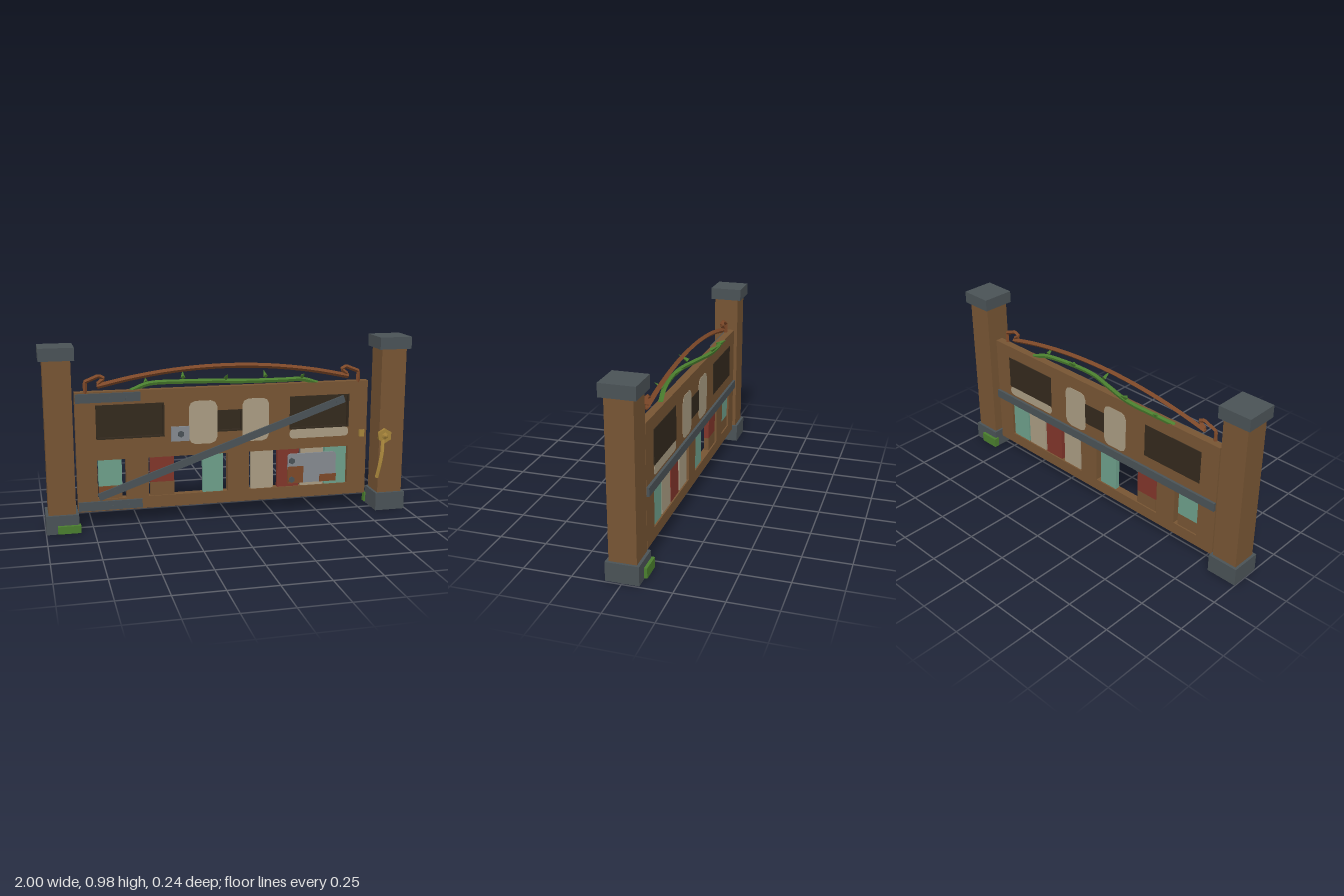
import * as THREE from 'three';

const mat = (name, color) => {
  const m = new THREE.MeshStandardMaterial({ color });
  m.name = name;
  return m;
};

export function createModel() {
  const group = new THREE.Group();
  const wood = mat('wood', 0x765433), steel = mat('dark steel', 0x4a5256), dark = mat('dark wood', 0x33291d);
  const cream = mat('worn cream', 0xa99b82), teal = mat('teal paint', 0x6d9f8a), red = mat('red paint', 0x80352a);
  const moss = mat('moss green', 0x4a7e2e), grey = mat('light metal', 0x858a90);
  const brass = mat('brass', 0xa5833a), rust = mat('rust', 0x7d4828);

  const add = (name, geo, m) => {
    const mesh = new THREE.Mesh(geo, m);
    mesh.name = name;
    group.add(mesh);
    return mesh;
  };
  // Box given by its limits on each axis
  const box = (name, m, x0, x1, y0, y1, z0, z1) => {
    const b = add(name, new THREE.BoxGeometry(x1 - x0, y1 - y0, z1 - z0), m);
    b.position.set((x0 + x1) / 2, (y0 + y1) / 2, (z0 + z1) / 2);
    return b;
  };
  // Rectangle outline with corners cut by c
  const outline = (x0, x1, y0, y1, c = 0, Type = THREE.Shape) => {
    const pts = c
      ? [[x0 + c, y0], [x1 - c, y0], [x1 - c * 0.3, y0 + c * 0.3], [x1, y0 + c], [x1, y1 - c], [x1 - c * 0.3, y1 - c * 0.3],
        [x1 - c, y1], [x0 + c, y1], [x0 + c * 0.3, y1 - c * 0.3], [x0, y1 - c], [x0, y0 + c], [x0 + c * 0.3, y0 + c * 0.3]]
      : [[x0, y0], [x1, y0], [x1, y1], [x0, y1]];
    return new Type(pts.map(p => new THREE.Vector2(...p)));
  };
  const plate = (name, m, shape, z0, z1) => {
    const p = add(name, new THREE.ExtrudeGeometry(shape, { depth: z1 - z0, bevelEnabled: false }), m);
    p.position.z = z0;
    return p;
  };
  const bolt = (x, y, z, r = 0.013) => {
    const b = add('bolt', new THREE.CylinderGeometry(r, r, 0.01, 6), steel);
    b.rotation.x = Math.PI / 2;
    b.position.set(x, y, z);
  };
  // Bent bar following points, with few sides
  const bar = (name, m, pts, r, segs, sides = 4, smooth = true) => {
    const v = pts.map(p => new THREE.Vector3(...p));
    let path = new THREE.CatmullRomCurve3(v);
    if (!smooth) {
      path = new THREE.CurvePath();
      for (let i = 1; i < v.length; i++) path.add(new THREE.LineCurve3(v[i - 1], v[i]));
    }
    const geo = new THREE.TubeGeometry(path, segs, r, sides, false).toNonIndexed();
    geo.computeVertexNormals();
    add(name, geo, m);
    // End caps
    for (const [p, q] of [[v[0], v[1]], [v[v.length - 1], v[v.length - 2]]]) {
      const cap = add(name + 'End', new THREE.ConeGeometry(r * 1.05, r * 0.6, sides), m);
      cap.position.copy(p);
      cap.quaternion.setFromUnitVectors(new THREE.Vector3(0, 1, 0), p.clone().sub(q).normalize());
    }
  };

  // Posts
  for (const x of [-0.913, 0.906]) {
    box('post', wood, x - 0.071, x + 0.071, 0.1, 0.912, -0.07, 0.07);
    box('postBase', steel, x - 0.085, x + 0.085, 0, 0.1, -0.085, 0.085);
    box('postCap', steel, x - 0.09, x + 0.09, 0.912, 0.978, -0.09, 0.09);
  }
  box('frontMoss', moss, -0.94, -0.82, 0.006, 0.046, 0.07, 0.104);
  box('backMoss', moss, 0.812, 0.925, 0.006, 0.06, -0.101, -0.07);

  // Gate panel with windows and slat openings
  const B = -0.055, F = -0.012;
  const panel = outline(-0.825, 0.79, 0.08, 0.728);
  const windows = [[-0.718, -0.355, 0.472, 0.657], [-0.067, 0.072, 0.482, 0.6], [0.34, 0.682, 0.472, 0.657]];
  const openings = [[-0.718, -0.565], [-0.445, -0.008], [0.11, 0.682]];
  for (const w of windows) panel.holes.push(outline(...w, 0, THREE.Path));
  for (const o of openings) panel.holes.push(outline(...o, 0.145, 0.36, 0, THREE.Path));
  plate('gatePanel', wood, panel, B, F);

  // Dark window boards, recessed in front and almost flush behind
  for (const [x0, x1, y0, y1] of windows) {
    box('windowBoard', dark, x0, x1, y0, y1, B - 0.003, F - 0.015);
    const frame = outline(x0, x1, y0, y1);
    frame.holes.push(outline(x0 + 0.008, x1 - 0.008, y0 + 0.008, y1 - 0.008, 0, THREE.Path));
    plate('windowFrame', dark, frame, F - 0.015, F + 0.004);
  }

  // Worn cream patches on both faces
  for (const [z0, z1] of [[F - 0.001, F + 0.002], [B - 0.002, B + 0.001]]) {
    plate('creamPatch', cream, outline(-0.222, -0.067, 0.42, 0.657, 0.035), z0, z1);
    plate('creamPatch', cream, outline(0.072, 0.222, 0.42, 0.657, 0.035), z0, z1);
    plate('creamStrip', cream, outline(0.34, 0.682, 0.42, 0.472, 0.02), z0, z1);
  }

  // Painted slats
  const slats = [[-0.712, -0.587, teal, 0.215], [-0.435, -0.305, red, 0.22], [-0.147, -0.035, teal, 0.145],
    [0.125, 0.25, cream, 0.145], [0.275, 0.398, red, 0.145], [0.41, 0.54, cream, 0.145], [0.55, 0.675, teal, 0.145]];
  for (const [x0, x1, m, y0] of slats) {
    box('slat', m, x0, x1, y0, 0.36, B + 0.008, F - 0.008);
    if (y0 > 0.15) box('bareSlatEnd', wood, x0, x1, 0.145, y0, B + 0.008, F - 0.008);
  }

  // Steel straps, back rail and diagonal brace
  for (const y of [0.697, 0.112]) {
    box('hingeStrap', steel, -0.822, -0.482, y - 0.024, y + 0.024, F, 0);
    for (const x of [-0.64, -0.553]) bolt(x, y - 0.008, 0.001, 0.01);
  }
  box('backRail', steel, -0.825, 0.79, 0.36, 0.408, B - 0.014, B);
  const a = new THREE.Vector2(-0.715, 0.16), b = new THREE.Vector2(0.65, 0.634), d = b.clone().sub(a);
  const brace = add('diagonalBrace', new THREE.BoxGeometry(d.length(), 0.04, 0.012), steel);
  brace.position.set((a.x + b.x) / 2, (a.y + b.y) / 2, 0);
  brace.rotation.z = d.angle();
  bolt(-0.625, 0.19, 0.007);
  bolt(0.615, 0.622, 0.007);

  // Light metal repair plates
  box('smallPlate', grey, -0.32, -0.222, 0.442, 0.523, F, -0.004);
  bolt(-0.268, 0.482, 0, 0.018);
  plate('largePlate', grey, outline(0.33, 0.61, 0.166, 0.334, 0.016), F, -0.002);
  box('rustPatch', rust, 0.328, 0.42, 0.166, 0.262, -0.004, 0);
  box('rustPatch', rust, 0.515, 0.612, 0.166, 0.208, -0.004, 0);
  box('rustPatch', rust, -0.712, -0.64, 0.175, 0.212, F - 0.009, F - 0.004);
  for (const y of [0.295, 0.188]) bolt(0.352, y, 0.002, 0.018);

  // Arched top rail with bent hooks
  const arch = [];
  for (let i = 0; i <= 8; i++) {
    const t = i / 4 - 1;
    arch.push([-0.015 + t * 0.69, 0.84 - 0.083 * t * t, -0.018]);
  }
  bar('archRail', rust, arch, 0.014, 24);
  for (const s of [-1, 1]) {
    const hook = [[0.75, 0.72], [0.75, 0.783], [0.678, 0.812], [0.65, 0.797], [0.685, 0.77]];
    bar('railHook', rust, hook.map(([x, y]) => [-0.017 + s * x, y, -0.018]), 0.011, 24, 4, false);
  }

  // Winding vine with thorns
  bar('vine', moss, [[-0.53, 0.722, -0.035], [-0.43, 0.75, -0.07], [-0.25, 0.754, -0.07], [-0.07, 0.757, -0.03],
    [0.06, 0.757, 0.004], [0.18, 0.756, 0.01], [0.3, 0.754, 0.002], [0.41, 0.75, -0.015], [0.5, 0.722, -0.03]], 0.013, 36, 5);
  const thorns = [[-0.44, 0.758, -0.075, 0, 0.02, -0.03], [-0.24, 0.775, -0.075, 0.005, 0.03, -0.045],
    [-0.02, 0.775, -0.01, 0, 0.03, 0.055], [0.2, 0.775, -0.01, 0, 0.03, -0.045], [0.405, 0.765, -0.01, 0, 0.025, 0.045]];
  for (const [x, y, z, dx, dy, dz] of thorns) {
    const dir = new THREE.Vector3(dx, dy, dz);
    const geo = new THREE.ConeGeometry(0.013, dir.length(), 4).toNonIndexed();
    geo.computeVertexNormals();
    const t = add('thorn', geo, moss);
    t.position.set(x + dx / 2, y + dy / 2, z + dz / 2);
    t.quaternion.setFromUnitVectors(new THREE.Vector3(0, 1, 0), dir.normalize());
  }

  // Brass latch: hexagonal boss, hanging lever and catch
  const hex = add('latchBoss', new THREE.CylinderGeometry(0.041, 0.041, 0.02, 6).toNonIndexed(), brass);
  hex.rotation.x = Math.PI / 2;
  hex.position.set(0.862, 0.43, 0.08);
  const knob = add('latchKnob', new THREE.ConeGeometry(0.02, 0.012, 6), brass);
  knob.rotation.x = Math.PI / 2;
  knob.position.set(0.862, 0.43, 0.096);
  bar('latchLever', brass, [[0.852, 0.405, 0.083], [0.842, 0.345, 0.104], [0.826, 0.27, 0.114], [0.812, 0.2, 0.11]], 0.011, 10, 6);
  box('catch', brass, 0.745, 0.773, 0.412, 0.45, F, 0.002);

  return group;
}
